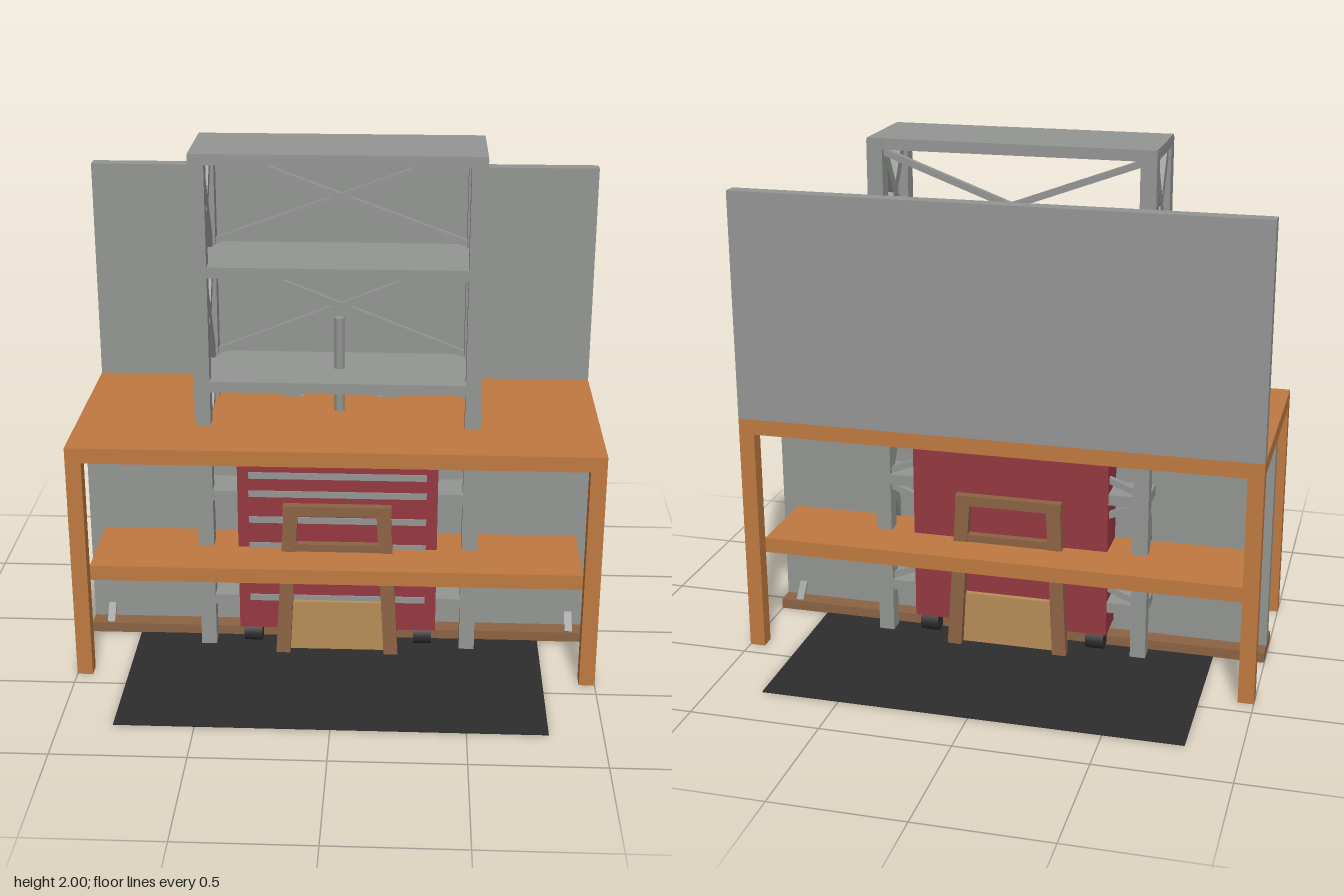
import * as THREE from 'three';

function material(name, color) {
  const m = new THREE.MeshStandardMaterial({ color });
  m.name = name;
  return m;
}

export function createModel() {
  const model = new THREE.Group();
  model.name = 'workshopBench';
  const orange = material('orange wood', 0xc07a41);
  const grey = material('grey metal', 0x949694);
  const red = material('red paint', 0x953840);
  const brown = material('brown wood', 0x8c6343);
  const tan = material('tan wood', 0xb88e58);
  const black = material('black rubber', 0x2d2d2d);
  const SIGNS = [-1, 1];

  function group(name) {
    const g = new THREE.Group();
    g.name = name;
    model.add(g);
    return g;
  }
  // Box given by its limits on each axis
  function box(parent, name, mat, [x0, x1], [y0, y1], [z0, z1]) {
    const m = new THREE.Mesh(new THREE.BoxGeometry(x1 - x0, y1 - y0, z1 - z0), mat);
    m.position.set((x0 + x1) / 2, (y0 + y1) / 2, (z0 + z1) / 2);
    m.name = name;
    parent.add(m);
    return m;
  }
  // Box centred on x and z, at given heights
  const slab = (p, n, mat, hx, y0, y1, hz) => box(p, n, mat, [-hx, hx], [y0, y1], [-hz, hz]);
  // Square-cut bar between two points
  function bar(parent, name, mat, a, b, wx, wz) {
    const from = new THREE.Vector3(...a), to = new THREE.Vector3(...b);
    const dir = to.clone().sub(from);
    const m = new THREE.Mesh(new THREE.BoxGeometry(wx, dir.length(), wz), mat);
    m.position.copy(from).add(to).multiplyScalar(0.5);
    m.quaternion.setFromUnitVectors(new THREE.Vector3(0, 1, 0), dir.normalize());
    m.name = name;
    parent.add(m);
  }

  // Floor mat
  slab(model, 'floorMat', black, 0.8, 0.002, 0.005, 0.8);

  // Workbench with lower shelf and tall back panel
  const bench = group('workbench');
  slab(bench, 'benchTop', orange, 1, 0.89, 0.95, 0.435);
  slab(bench, 'benchShelf', orange, 0.94, 0.38, 0.44, 0.378);
  for (const sx of SIGNS) for (const sz of SIGNS) {
    const leg = slab(bench, 'benchLeg', orange, 0.03, 0, 0.89, 0.029);
    leg.position.x = sx * 0.97;
    leg.position.z = sz * 0.406;
  }
  box(bench, 'backPanel', grey, [-1, 1], [0.95, 1.83], [-0.435, -0.377]);

  // Shelving rack
  const rack = group('shelvingRack');
  const shelfTops = [0.225, 0.675, 1.125, 1.575, 2];
  for (const y of shelfTops) slab(rack, 'rackShelf', grey, 0.543, y - 0.042, y, 0.18);
  for (const sx of SIGNS) for (const sz of SIGNS) {
    const post = slab(rack, 'rackPost', grey, 0.03, 0, 1.99, 0.03);
    post.position.x = sx * 0.514;
    post.position.z = sz * 0.151;
  }
  // Crossed braces on both ends and the back of each bay
  for (let i = 0; i < 4; i++) {
    const lo = shelfTops[i], hi = shelfTops[i + 1] - 0.042;
    for (const s of SIGNS) {
      for (const sx of SIGNS) {
        bar(rack, 'endBrace', grey, [sx * 0.514, lo, -s * 0.12], [sx * 0.514, hi, s * 0.12], 0.04, 0.042);
      }
      bar(rack, 'backBrace', grey, [-s * 0.485, lo + 0.012, -0.15], [s * 0.485, hi - 0.012, -0.15], 0.024, 0.024);
    }
  }

  // Upright rod
  const rod = new THREE.Mesh(new THREE.CylinderGeometry(0.02, 0.02, 1.28, 8), grey);
  rod.position.y = 0.69;
  rod.name = 'uprightRod';
  model.add(rod);

  // Drawer cabinet on casters
  const cabinet = group('drawerCabinet');
  slab(cabinet, 'cabinetBody', red, 0.388, 0.085, 0.88, 0.183);
  for (const y of [0.82, 0.745, 0.668, 0.558, 0.447, 0.337, 0.22]) {
    box(cabinet, 'drawerHandle', grey, [-0.345, 0.345], [y - 0.013, y + 0.013], [0.182, 0.188]);
  }
  for (const sx of SIGNS) for (const sz of SIGNS) {
    const caster = new THREE.Mesh(new THREE.CylinderGeometry(0.042, 0.042, 0.072, 16), black);
    caster.rotation.z = Math.PI / 2;
    caster.position.set(sx * 0.338, 0.046, sz * 0.13);
    caster.name = 'caster';
    cabinet.add(caster);
  }

  // Step stool with splayed legs around a low box
  const stool = group('stepStool');
  slab(stool, 'stoolTop', brown, 0.21, 0.59, 0.63, 0.218);
  for (const sx of SIGNS) for (const sz of SIGNS) {
    bar(stool, 'stoolLeg', brown, [sx * 0.213, 0.002, sz * 0.222], [sx * 0.18, 0.6, sz * 0.198], 0.055, 0.038);
  }
  for (const s of SIGNS) {
    box(stool, 'stoolRail', brown, [-0.17, 0.17], [0.42, 0.47], [s * 0.203 - 0.016, s * 0.203 + 0.016]);
  }
  slab(stool, 'stoolBox', tan, 0.185, 0, 0.213, 0.205);

  // Standing divider panel on a long foot, held by small braces
  const divider = group('dividerPanel');
  slab(divider, 'dividerBoard', grey, 0.998, 0, 0.88, 0.03);
  slab(divider, 'dividerFoot', brown, 0.999, 0.003, 0.043, 0.1);
  for (const sx of SIGNS) for (const sz of SIGNS) {
    bar(divider, 'footBrace', grey, [sx * 0.925, 0.04, sz * 0.085], [sx * 0.925, 0.1, sz * 0.03], 0.03, 0.012);
  }
  return model;
}
